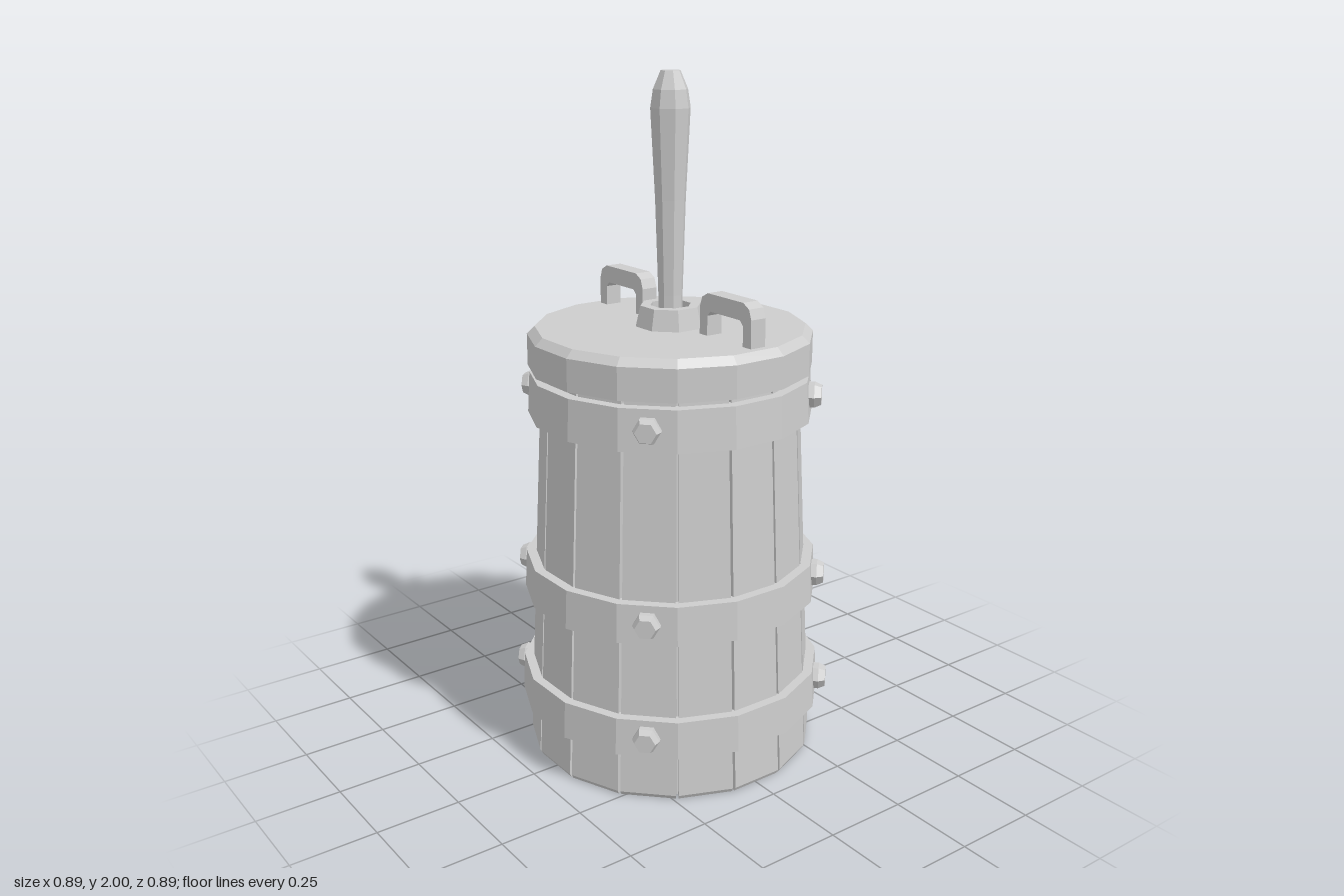
import * as THREE from 'three';

const SIDES = 16;
const grey = new THREE.MeshStandardMaterial({ color: 0xcccccc, flatShading: true });

function part(name, geometry, parent) {
  const g = geometry.index ? geometry.toNonIndexed() : geometry;
  g.computeVertexNormals();
  const mesh = new THREE.Mesh(g, grey);
  mesh.name = name;
  parent.add(mesh);
  return mesh;
}

// Faceted turned shape; profile is [distance to the flat, y], with flats facing the axes
function turned(profile, sides) {
  const k = 1 / Math.cos(Math.PI / sides);
  const pts = profile.map(([r, y]) => new THREE.Vector2(r * k, y));
  return new THREE.LatheGeometry(pts, sides, Math.PI / sides);
}

// Distance from the axis to the outer face of the staves at height y
const wall = (y) => 0.426 - 0.049 * y;
const BODY_TOP = 1.2, THICK = 0.03, GAP = 0.008;

// One tapered stave with a small chamfer at its foot, facing +z
function staveGeometry() {
  const g = new THREE.BoxGeometry(2, 2, 2, 1, 2, 1);
  const p = g.attributes.position;
  const heights = [0, 0.012, BODY_TOP];
  for (let i = 0; i < p.count; i++) {
    const row = Math.round(p.getY(i)) + 1;
    const y = heights[row];
    const outer = p.getZ(i) > 0;
    const r = wall(y) - (outer ? (row === 0 ? 0.007 : 0) : THICK);
    const half = r * Math.tan(Math.PI / SIDES) - GAP / 2;
    p.setXYZ(i, p.getX(i) * half, y, r);
  }
  return g;
}

// Arch with clipped corners, used for the lid handles
function handleGeometry() {
  const s = new THREE.Shape();
  const outline = [
    [-0.112, 0], [-0.112, 0.08], [-0.102, 0.108], [-0.077, 0.122],
    [0.077, 0.122], [0.102, 0.108], [0.112, 0.08], [0.112, 0],
    [0.078, 0], [0.078, 0.058], [0.065, 0.072],
    [-0.065, 0.072], [-0.078, 0.058], [-0.078, 0],
  ];
  s.setFromPoints(outline.map(([x, y]) => new THREE.Vector2(x, y)));
  return new THREE.ExtrudeGeometry(s, { depth: 0.05, bevelEnabled: false });
}

export function createModel() {
  const model = new THREE.Group();
  model.name = 'butterChurn';

  // Barrel: core seen through the seams, and the staves around it
  const barrel = new THREE.Group();
  barrel.name = 'barrel';
  model.add(barrel);
  part('core', turned([
    [0, 0], [wall(0) - THICK, 0], [wall(BODY_TOP) - THICK, BODY_TOP], [0, BODY_TOP],
  ], SIDES), barrel);
  for (let i = 0; i < SIDES; i++) {
    part('stave', staveGeometry(), barrel).rotation.y = (i / SIDES) * Math.PI * 2;
  }

  // Hoops with four bolts each
  const hoops = [
    [0.145, 0.255, 0.447, 0.441],
    [0.485, 0.6, 0.431, 0.425],
    [1.035, 1.155, 0.408, 0.401],
  ];
  for (const [y0, y1, r0, r1] of hoops) {
    const hoop = new THREE.Group();
    hoop.name = 'hoop';
    model.add(hoop);
    part('hoopBand', turned([
      [wall(y0) - 0.01, y0], [r0, y0], [r1, y1], [wall(y1) - 0.01, y1], [wall(y0) - 0.01, y0],
    ], SIDES), hoop);
    for (let i = 0; i < 4; i++) {
      const pivot = new THREE.Group();
      pivot.name = 'bolt';
      pivot.rotation.y = Math.PI / 4 + (i * Math.PI) / 2;
      hoop.add(pivot);
      const r = (r0 + r1) / 2;
      // Hexagonal base, then a tapered head
      const shank = new THREE.CylinderGeometry(0.039, 0.039, 0.03, 6).rotateY(Math.PI / 6);
      const head = new THREE.CylinderGeometry(0.03, 0.039, 0.02, 6).rotateY(Math.PI / 6);
      for (const [name, g, z] of [['boltBase', shank, r], ['boltHead', head, r + 0.025]]) {
        g.rotateX(Math.PI / 2).rotateZ(Math.PI / 6);
        // Put two corners on the horizontal line
        g.rotateZ(-Math.PI / 6 + Math.PI / 3);
        part(name, g, pivot).position.set(0, (y0 + y1) / 2 + 0.003, z);
      }
    }
  }

  // Lid with a chamfered rim
  const lid = new THREE.Group();
  lid.name = 'lid';
  model.add(lid);
  part('lidDisc', turned([
    [0, 1.175], [0.405, 1.175], [0.405, 1.268], [0.383, 1.29], [0, 1.29],
  ], SIDES), lid);

  // Pair of handles on the lid
  for (const side of [-1, 1]) {
    part('lidHandle', handleGeometry(), lid).position.set(side * 0.25, 1.289, -0.05);
  }

  // Open collar around the plunger
  part('collar', turned([
    [0.055, 1.288], [0.095, 1.288], [0.082, 1.35], [0.055, 1.35], [0.055, 1.288],
  ], 8), lid);

  // Plunger stick, thickening to a rounded grip
  part('plunger', turned([
    [0, 1.27], [0.032, 1.27], [0.033, 1.38], [0.041, 1.65], [0.053, 1.9],
    [0.046, 1.95], [0.026, 2], [0, 2],
  ], 8), model);

  return model;
}
